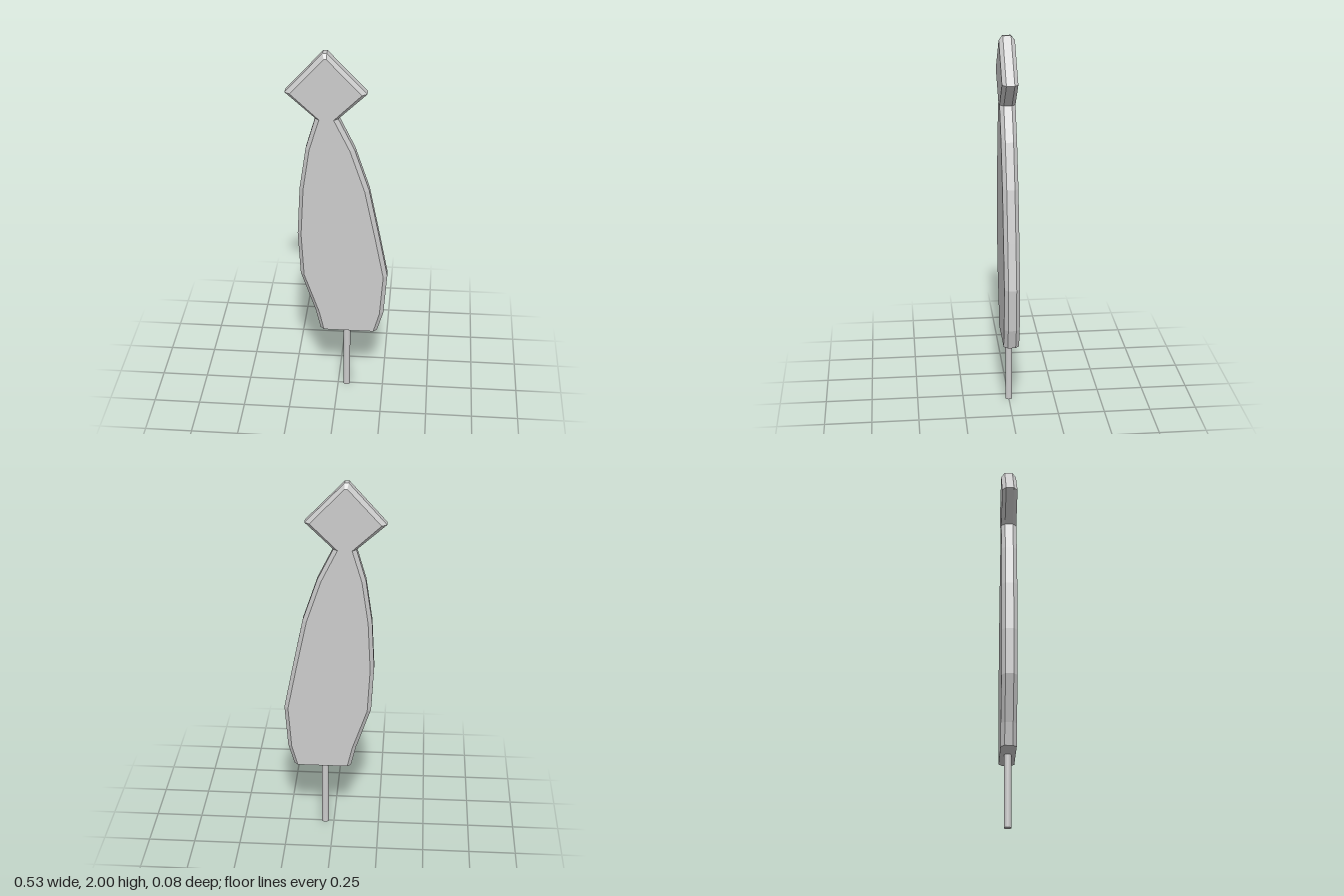
import * as THREE from 'three';

// Outline, counter-clockwise from bottom left: rim x, rim y, face x, face y
const OUTLINE = [
  [-0.095, 0.385, -0.075, 0.385], [0.215, 0.385, 0.195, 0.385],
  [0.248, 0.5, 0.227, 0.5], [0.265, 0.735, 0.244, 0.735],
  [0.217, 0.98, 0.196, 0.98], [0.162, 1.25, 0.14, 1.25],
  [0.085, 1.48, 0.063, 1.48], [0.002, 1.65, -0.02, 1.65],
  [0.147, 1.79, 0.121, 1.79], [-0.054, 2.0, -0.055, 1.975],
  [-0.075, 2.0, -0.068, 1.975], [-0.267, 1.787, -0.24, 1.787],
  [-0.115, 1.65, -0.094, 1.65], [-0.165, 1.48, -0.145, 1.48],
  [-0.199, 1.25, -0.179, 1.25], [-0.213, 0.98, -0.193, 0.98],
  [-0.2, 0.733, -0.18, 0.733], [-0.122, 0.5, -0.101, 0.5],
];
const RIM_Z = 0.021, FACE_Z = 0.041;

// Flat plate with bevelled rim: four rings of the outline joined, then capped
function plateGeometry() {
  const n = OUTLINE.length;
  const rim = OUTLINE.map(([x, y]) => [x, y]);
  const face = OUTLINE.map(([, , x, y]) => [x, y]);
  const rings = [[face, -FACE_Z], [rim, -RIM_Z], [rim, RIM_Z], [face, FACE_Z]];
  const positions = rings.flatMap(([pts, z]) => pts.flatMap(([x, y]) => [x, y, z]));
  const index = [];
  for (let r = 0; r < 3; r++) {
    for (let i = 0; i < n; i++) {
      const j = (i + 1) % n;
      const a = r * n + i, b = r * n + j, c = a + n, d = b + n;
      index.push(a, b, d, a, d, c);
    }
  }
  const caps = THREE.ShapeUtils.triangulateShape(face.map(([x, y]) => new THREE.Vector2(x, y)), []);
  for (const [a, b, c] of caps) {
    index.push(a + 3 * n, b + 3 * n, c + 3 * n); // front
    index.push(a, c, b); // back
  }
  const indexed = new THREE.BufferGeometry();
  indexed.setAttribute('position', new THREE.Float32BufferAttribute(positions, 3));
  indexed.setIndex(index);
  const geometry = indexed.toNonIndexed();
  geometry.computeVertexNormals();
  return geometry;
}

export function createModel() {
  const group = new THREE.Group();
  group.name = 'plateOnStick';

  const plate = new THREE.Mesh(
    plateGeometry(),
    new THREE.MeshStandardMaterial({ color: 0xcccccc, flatShading: true })
  );
  plate.name = 'bevelledPlate';
  group.add(plate);

  // Thin round stick, its end set slightly into the plate
  const stick = new THREE.Mesh(
    new THREE.CylinderGeometry(0.019, 0.019, 0.4, 16),
    new THREE.MeshStandardMaterial({ color: 0xcccccc })
  );
  stick.name = 'stick';
  stick.position.set(0.048, 0.2, 0);
  group.add(stick);

  return group;
}
